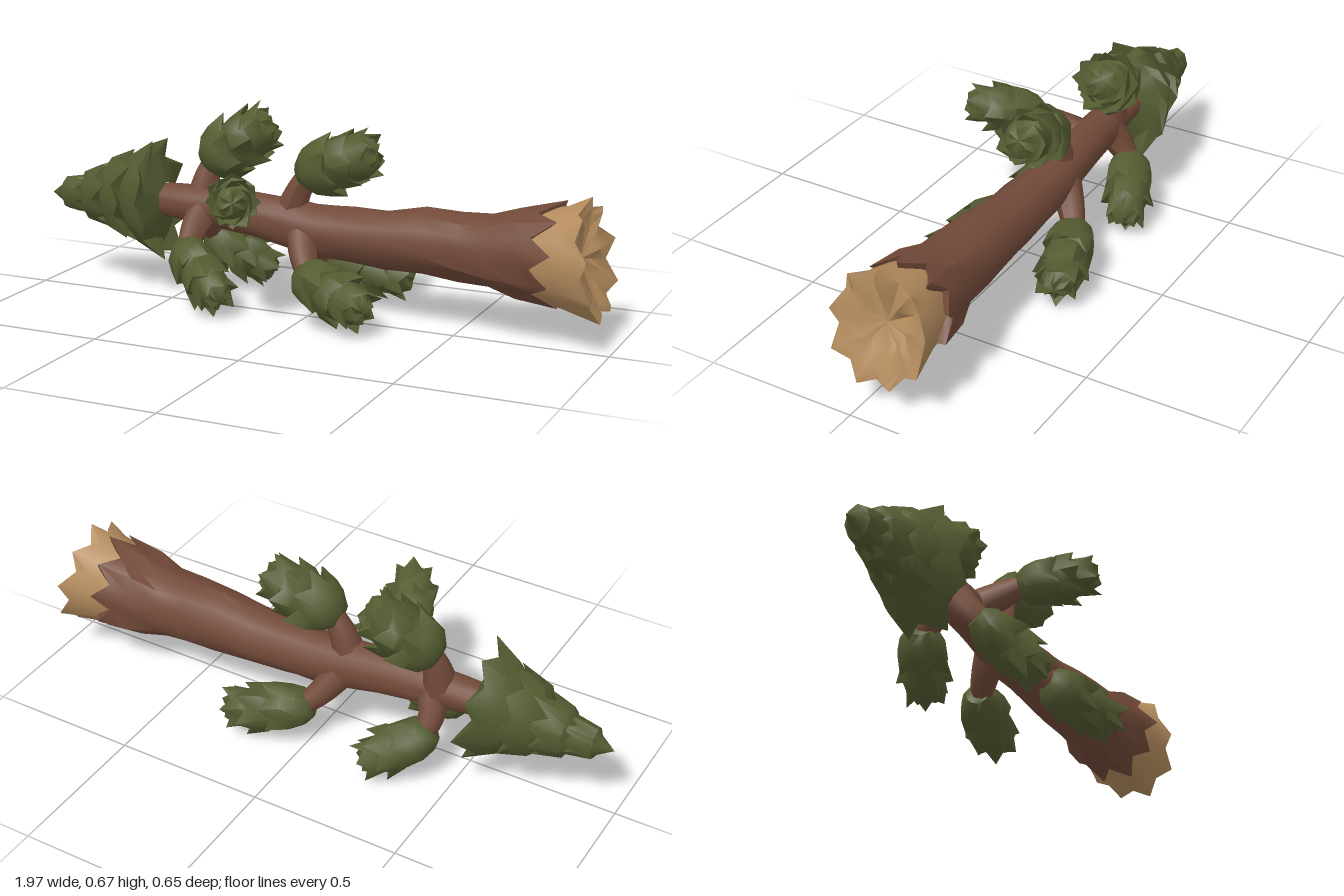
import * as THREE from 'three';
import { toCreasedNormals } from 'three/addons/utils/BufferGeometryUtils.js';

const V = (x, y, z) => new THREE.Vector3(x, y, z);

// Small seeded random, -1..1
let seed = 7;
const rnd = () => {
  seed = (seed * 16807) % 2147483647;
  return (seed / 2147483647) * 2 - 1;
};

// Skin of rings along the axis a->b. Each row: t (distance along the axis), r (radius),
// jag (how far tips reach past valleys), dip (valley radius factor), odd (shifts the tips),
// y (height offset), rough (random wobble), tilt (lets the lower side reach further)
function ringSurface(a, b, columns, rows, squash = 1, crease = 0.75) {
  const d = b.clone().sub(a).normalize();
  const u = V(0, 1, 0).addScaledVector(d, -d.y).normalize();
  const v = d.clone().cross(u);
  const pos = [], index = [];
  for (const { t, r, jag = 0, dip = 1, odd = 0, y = 0, rough = 0, tilt = 0 } of rows) {
    for (let j = 0; j < columns; j++) {
      const tip = (j + odd) % 2 === 0;
      const ang = (j / columns) * Math.PI * 2;
      const rad = r * (tip ? 1 : dip) * (1 + rnd() * rough);
      const along = t + (tip ? jag * (1 + rnd() * 0.35) : 0) - tilt * Math.cos(ang);
      const p = a.clone().addScaledVector(d, along)
        .addScaledVector(u, Math.cos(ang) * rad)
        .addScaledVector(v, Math.sin(ang) * rad * squash);
      pos.push(p.x, p.y + y, p.z);
    }
  }
  for (let i = 0; i < rows.length - 1; i++) {
    for (let j = 0; j < columns; j++) {
      const k = (j + 1) % columns, p = i * columns, q = p + columns;
      if (rows[i].r > 0) index.push(p + j, p + k, q + k);
      if (rows[i + 1].r > 0) index.push(p + j, q + k, q + j);
    }
  }
  const g = new THREE.BufferGeometry();
  g.setAttribute('position', new THREE.Float32BufferAttribute(pos, 3));
  g.setIndex(index);
  return toCreasedNormals(g, crease);
}

export function createModel() {
  seed = 7;
  const bark = new THREE.MeshStandardMaterial({ color: 0x724a39 });
  bark.name = 'bark brown';
  const wood = new THREE.MeshStandardMaterial({ color: 0xb48c5e });
  wood.name = 'split wood tan';
  const needles = new THREE.MeshStandardMaterial({ color: 0x535b31 });
  needles.name = 'needle green';

  const model = new THREE.Group();
  model.name = 'fallenPine';
  const add = (parent, name, geometry, material) => {
    const mesh = new THREE.Mesh(geometry, material);
    mesh.name = name;
    parent.add(mesh);
  };

  // Trunk: bent, lumpy and fluted towards the broken end; rows are [x, radius, centre y, dip]
  const trunkRows = [
    [-0.62, 0.05, 0.32, 1], [-0.5, 0.058, 0.315, 1], [-0.36, 0.066, 0.31, 1],
    [-0.22, 0.072, 0.3, 1], [-0.1, 0.08, 0.285, 1], [0, 0.083, 0.272, 1],
    [0.12, 0.088, 0.268, 1], [0.25, 0.096, 0.27, 0.97], [0.38, 0.108, 0.277, 0.95],
    [0.5, 0.108, 0.272, 0.94], [0.6, 0.116, 0.268, 0.93], [0.69, 0.141, 0.275, 0.9],
  ].map(([x, r, y, dip]) => ({ t: x, r, y, dip, rough: 0.07 }));
  trunkRows.push({ t: 0.755, r: 0.164, y: 0.283, dip: 0.88, jag: 0.07, rough: 0.04 });
  trunkRows.push({ t: 0.75, r: 0.135, y: 0.28, dip: 0.85, jag: 0.06 });
  add(model, 'trunk', ringSurface(V(0, 0, -0.07), V(1, 0, -0.07), 18, trunkRows, 0.96, 0.9), bark);

  // Splintered end: fluted collar, uneven rim leaning out at the bottom, ridged shallow face
  add(model, 'brokenEnd', ringSurface(V(0, 0.276, -0.063), V(1, 0.276, -0.063), 18, [
    { t: 0.7, r: 0.11 },
    { t: 0.77, r: 0.147, dip: 0.93 },
    { t: 0.84, r: 0.162, dip: 0.92, rough: 0.03 },
    { t: 0.915, r: 0.188, dip: 0.86, jag: 0.028, rough: 0.05, tilt: 0.034 },
    { t: 0.912, r: 0.16, dip: 0.86, jag: 0.028, rough: 0.03, tilt: 0.03 },
    { t: 0.893, r: 0.09, dip: 0.86, jag: 0.025, tilt: 0.012 },
    { t: 0.88, r: 0 },
  ], 0.88, 1.1), wood);

  // Crown: overlapping skirts of pointed scales, from the tip back to a nearly flat base
  const crownRows = [{ t: 0, r: 0 }, { t: 0.05, r: 0.035 }];
  [[0.11, 0.075], [0.2, 0.12], [0.295, 0.172], [0.4, 0.217]].forEach(([t, r], i) => {
    crownRows.push({ t: t - 0.05, r: r * 0.74, dip: 0.92, odd: i % 2 });
    crownRows.push({ t, r, dip: 0.82, jag: 0.05, odd: i % 2, rough: 0.08 });
    crownRows.push({ t: t + 0.02, r: r * 0.66 });
  });
  crownRows.push({ t: 0.45, r: 0.05 });
  add(model, 'crown', ringSurface(V(-1, 0.3, -0.07), V(-0.5, 0.33, -0.07), 16, crownRows, 0.77), needles);

  // Branches: [name, stem root, tuft base, tuft tip, tuft radius]
  const branches = [
    ['upperRearBranch', V(-0.42, 0.32, -0.08), V(-0.42, 0.45, -0.1), V(-0.2, 0.59, -0.16), 0.108],
    ['upperFrontBranch', V(-0.1, 0.29, -0.07), V(-0.06, 0.45, -0.07), V(0.2, 0.54, -0.09), 0.104],
    ['sideBranch', V(-0.28, 0.31, -0.06), V(-0.235, 0.385, 0.07), V(-0.12, 0.425, 0.295), 0.086],
    ['lowerBranchA', V(-0.04, 0.27, -0.05), V(0, 0.155, 0.06), V(0.265, 0.085, 0.16), 0.093],
    ['lowerBranchB', V(-0.08, 0.27, -0.09), V(-0.02, 0.15, -0.18), V(0.265, 0.085, -0.255), 0.09],
    ['lowerBranchC', V(-0.4, 0.3, -0.06), V(-0.44, 0.2, 0.04), V(-0.235, 0.06, 0.16), 0.086],
    ['lowerBranchD', V(-0.4, 0.3, -0.08), V(-0.44, 0.2, -0.15), V(-0.235, 0.06, -0.24), 0.086],
  ];
  for (const [name, root, base, tip, r] of branches) {
    const branch = new THREE.Group();
    branch.name = name;
    model.add(branch);

    // Stem flares at the trunk and bends into the tuft
    const L = base.distanceTo(tip);
    const inside = base.clone().lerp(tip, 0.2);
    const stem = new THREE.TubeGeometry(
      new THREE.QuadraticBezierCurve3(root, base.clone().lerp(root, 0.15), inside), 7, 0.039, 8);
    const p = stem.attributes.position;
    for (let i = 0; i < p.count; i++) {
      const ring = Math.floor(i / 9) / 7;
      const c = stem.parameters.path.getPointAt(ring);
      const q = V(0, 0, 0).fromBufferAttribute(p, i).sub(c).multiplyScalar(1.5 - 0.7 * ring).add(c);
      p.setXYZ(i, q.x, q.y, q.z);
    }
    stem.computeVertexNormals();
    add(branch, 'stem', stem, bark);

    // Tuft: three layers of broad needle scales ending in a blunt cluster
    const rows = [{ t: 0, r: 0 }, { t: 0, r: r * 0.4 }, { t: L * 0.12, r: r * 0.72, rough: 0.08 }];
    [[0.4, 1], [0.65, 0.98], [0.86, 0.8]].forEach(([t, s], i) => {
      rows.push({ t: L * (t - 0.13), r: r * s * 0.9, dip: 0.92, odd: i % 2, rough: 0.06 });
      rows.push({ t: L * t, r: r * s, dip: 0.84, jag: L * 0.12, odd: i % 2, rough: 0.1 });
      rows.push({ t: L * (t + 0.03), r: r * s * 0.74 });
    });
    rows.push({ t: L * 0.97, r: r * 0.4, dip: 0.75, jag: L * 0.04 }, { t: L, r: 0 });
    add(branch, 'needleTuft', ringSurface(base, tip, 12, rows, 1, 0.9), needles);
  }
  return model;
}
